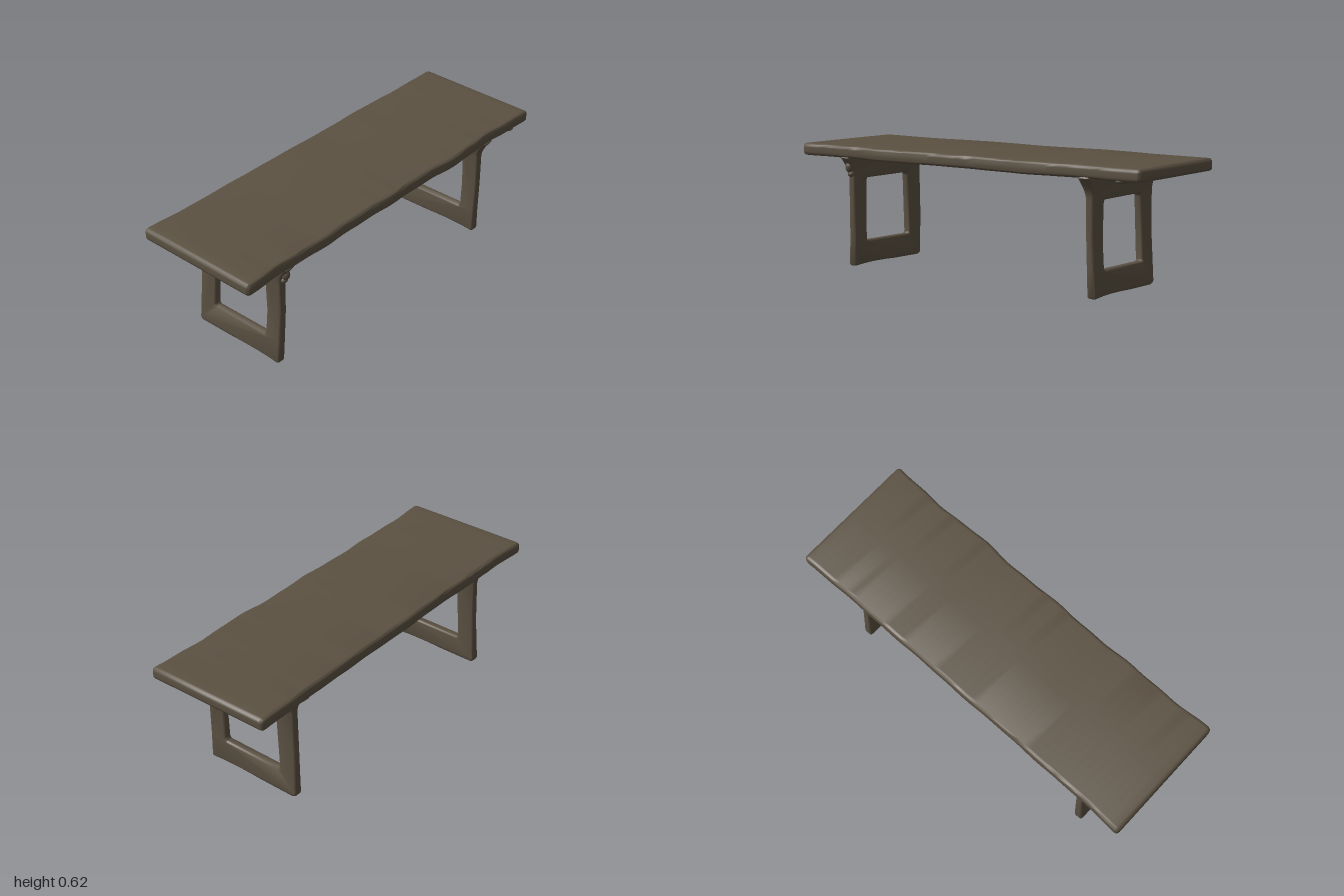
import * as THREE from 'three';
import { toCreasedNormals } from 'three/addons/utils/BufferGeometryUtils.js';

// Move every vertex by a rule, then smooth all but the sharp edges
function bend(geometry, rule) {
  const p = geometry.attributes.position;
  const v = new THREE.Vector3();
  for (let i = 0; i < p.count; i++) {
    v.fromBufferAttribute(p, i);
    rule(v);
    p.setXYZ(i, v.x, v.y, v.z);
  }
  return toCreasedNormals(geometry, 0.9);
}

// Closed polygon with rounded corners, drawn into a Shape or Path
function roundedPath(path, pts, r) {
  const n = pts.length;
  pts.forEach(([x, y], i) => {
    const corner = new THREE.Vector2(x, y);
    const toward = (q) => new THREE.Vector2(...q).sub(corner).setLength(r).add(corner);
    const a = toward(pts[(i + n - 1) % n]);
    const b = toward(pts[(i + 1) % n]);
    if (i === 0) path.moveTo(a.x, a.y); else path.lineTo(a.x, a.y);
    path.quadraticCurveTo(x, y, b.x, b.y);
  });
  path.closePath();
  return path;
}

export function createModel() {
  const wood = new THREE.MeshStandardMaterial({ color: 0x5b5142 });
  wood.name = 'dark wood';
  const model = new THREE.Group();
  model.name = 'bench';
  const add = (name, geometry) => {
    const mesh = new THREE.Mesh(geometry, wood);
    mesh.name = name;
    model.add(mesh);
    return mesh;
  };

  // Seat plank: rounded section swept along z, with hand-hewn edges
  const section = roundedPath(new THREE.Shape(),
    [[-0.322, 0.56], [0, 0.56], [0.32, 0.56], [0.32, 0.622], [0, 0.622], [-0.322, 0.622]], 0.02);
  const plank = new THREE.ExtrudeGeometry(section, {
    depth: 1.96, steps: 48, curveSegments: 5,
    bevelEnabled: true, bevelSize: 0.018, bevelOffset: -0.018, bevelThickness: 0.02, bevelSegments: 3,
  });
  plank.translate(0, 0, -0.98);
  add('seat', bend(plank, (v) => {
    const z = v.z;
    const end = Math.pow(Math.abs(z), 6);
    const side = THREE.MathUtils.clamp(v.x / 0.32, -1, 1);
    const wave = 0.003 * Math.sin(z * 13 + 1) + 0.002 * Math.sin(z * 29);
    if (side > 0) v.x += side * (wave + 0.009 * end + 0.007 * Math.exp(-Math.pow((z + 0.43) / 0.12, 2)));
    else v.x += side * (0.5 * wave + 0.011 * end * (z > 0 ? 1 : 0.3));
    v.y += 0.0015 * Math.sin(z * 9 + side) + 0.004 * side * end;
  }));

  // Leg frames: tapered open rectangle whose top flares out under the seat
  function legFrame(name, z0, lean, topWidth) {
    const shape = new THREE.Shape();
    shape.moveTo(-0.24, 0);
    shape.quadraticCurveTo(-0.266, 0.003, -0.266, 0.022);
    shape.lineTo(-0.258, 0.25);
    shape.lineTo(-0.252, 0.46);
    shape.bezierCurveTo(-0.25, 0.5, -0.275, 0.545, -0.318, 0.562);
    shape.lineTo(-0.3, 0.585);
    shape.lineTo(0.3, 0.585);
    shape.lineTo(0.318, 0.562);
    shape.bezierCurveTo(0.295, 0.53, 0.265, 0.5, 0.266, 0.46);
    shape.lineTo(0.266, 0.3);
    shape.lineTo(0.259, 0.14);
    shape.lineTo(0.255, 0.02);
    shape.quadraticCurveTo(0.254, 0.006, 0.24, 0.006);
    shape.quadraticCurveTo(0.13, 0.017, -0.05, 0.005);
    shape.closePath();
    shape.holes.push(roundedPath(new THREE.Path(),
      [[-0.167, 0.123], [0.167, 0.13], [0.174, 0.28], [0.168, 0.452], [-0.147, 0.45]], 0.014));
    const frame = new THREE.ExtrudeGeometry(shape, {
      depth: 0.02, steps: 1, curveSegments: 6,
      bevelEnabled: true, bevelSize: 0.01, bevelOffset: -0.01, bevelThickness: 0.011, bevelSegments: 3,
    });
    frame.translate(0, 0, -0.01);
    add(name, bend(frame, (v) => {
      const top = THREE.MathUtils.smoothstep(v.y, 0.43, 0.57);
      const foot = 1 - THREE.MathUtils.smoothstep(v.y, 0, 0.25);
      v.z = z0 + lean * foot + v.z * (0.93 + topWidth * top + 0.17 * foot);
    }));
  }
  legFrame('frontLegFrame', 0.724, 0.013, 0.45);
  legFrame('backLegFrame', -0.697, -0.006, 0.65);

  // Small knots left in the wood
  const knot = (name, pos, size) => {
    const mesh = add(name, new THREE.SphereGeometry(1, 16, 10));
    mesh.position.set(...pos);
    mesh.scale.set(...size);
  };
  knot('frontLegKnot', [0.272, 0.479, 0.722], [0.015, 0.015, 0.018]);
  knot('frontLegKnotUpper', [0.283, 0.515, 0.722], [0.02, 0.028, 0.02]);
  knot('underSeatKnot', [0.27, 0.562, -0.88], [0.055, 0.014, 0.035]);

  return model;
}
